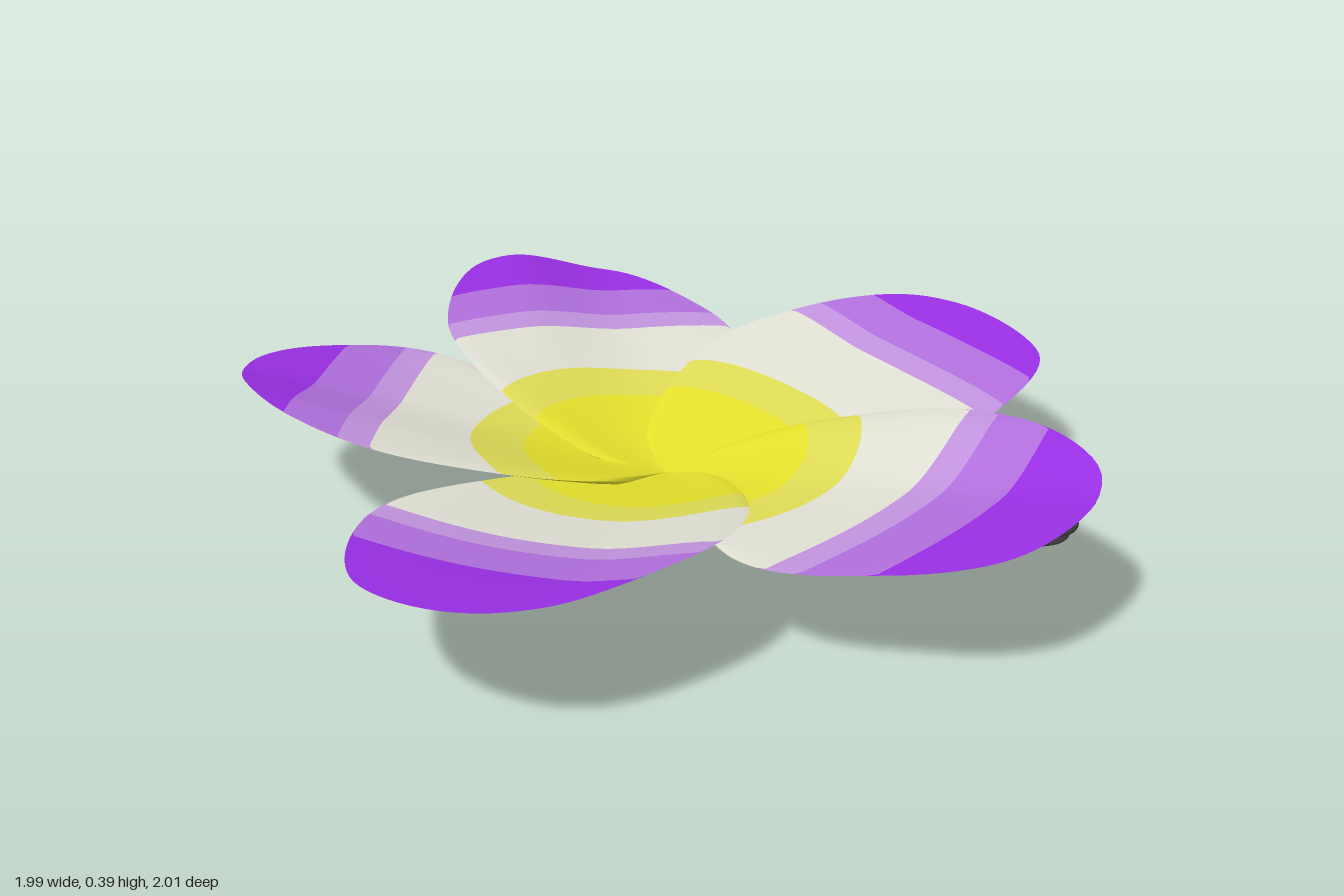
import * as THREE from 'three';

const mat = (name, color) => {
  const m = new THREE.MeshStandardMaterial({ color });
  m.name = name;
  return m;
};

// Where all petals meet, seen from above (x, z)
const BASE = new THREE.Vector2(0.03, -0.06);

// Outlines (x, z) run from the raised edge round the tip to the tucked edge.
// angle: direction from +x towards +z; reach: where the purple begins;
// slope and bend skew the colour borders; curl lifts the raised edge.
const PETALS = [
  { name: 'frontPetal', angle: 90, reach: 0.66, slope: 0.1, bend: -0.48, curl: 0.04,
    outline: [0.18, 0.03, 0.28, 0.38, 0.2, 0.72, -0.1, 1, -0.38, 0.91, -0.5, 0.6, -0.46, 0.32, -0.2, 0.03] },
  { name: 'rightPetal', angle: 180, reach: 0.64, slope: -0.1, bend: -0.1, curl: 0.045,
    outline: [-0.1, 0.15, -0.3, 0.27, -0.57, 0.315, -0.86, 0.17, -1, -0.1, -0.9, -0.32, -0.62, -0.44, -0.2, -0.25] },
  { name: 'backRightPetal', angle: 248, reach: 0.65, slope: -0.14, bend: -0.4, curl: 0.05,
    outline: [-0.15, -0.04, -0.4, -0.2, -0.6, -0.45, -0.6, -0.81, -0.3, -1, -0.02, -0.88, 0.12, -0.68, 0.13, -0.3] },
  { name: 'backLeftPetal', angle: 304, reach: 0.69, slope: 0.12, bend: -0.2, curl: 0.04,
    outline: [-0.04, -0.2, 0, -0.47, 0.16, -0.71, 0.6, -0.9, 0.88, -0.6, 0.75, -0.25, 0.6, -0.1, 0.3, -0.02] },
  { name: 'leftPetal', angle: 21, reach: 0.63, slope: 0.1, bend: -0.3, curl: 0.09,
    outline: [0.2, -0.165, 0.42, -0.18, 0.7, -0.1, 0.95, 0.16, 0.98, 0.33, 0.82, 0.57, 0.57, 0.62, 0.27, 0.51] },
];

// Thin closed petal: rays from the base to the outline, cut where the colour changes
function petalGeometry({ angle, reach, slope, bend, curl, outline }) {
  const COLS = 96, STEPS = 5, ROWS = 6 * STEPS + 1;
  const turn = THREE.MathUtils.degToRad(angle), dirX = Math.cos(turn), dirZ = Math.sin(turn);
  const knots = [BASE];
  for (let i = 0; i < outline.length; i += 2) knots.push(new THREE.Vector2(outline[i], outline[i + 1]));
  const rim = new THREE.SplineCurve([...knots, BASE]).getSpacedPoints(COLS);
  const pos = [], levels = [], index = [];

  const rays = rim.map(p => {
    const dx = p.x - BASE.x, dz = p.y - BASE.y;
    const along = dx * dirX + dz * dirZ, side = dx * dirZ - dz * dirX;
    const len = Math.max(Math.hypot(dx, dz), 1e-6);
    const cuts = [0, Math.min(1, 0.33 / len), Math.min(1, 0.45 / len)];
    for (const border of [reach, reach + 0.075, reach + 0.21]) {
      const past = w => w * along - border - slope * w * side - bend * (w * side) ** 2;
      let lo = 0, hi = 1;
      if (past(1) < 0) lo = 1;
      else for (let k = 0; k < 24; k++) {
        const m = (lo + hi) / 2;
        if (past(m) < 0) lo = m; else hi = m;
      }
      cuts.push(Math.max(lo, cuts[cuts.length - 1]));
    }
    cuts.push(1);
    return { dx, dz, side, len, cuts };
  });

  // A shallow cone, tilted sideways, with the raised edge lifted
  for (const face of [1, -1]) {
    for (const ray of rays) {
      for (let i = 0; i < ROWS; i++) {
        const k = Math.min(5, Math.floor(i / STEPS)), t = i / STEPS - k;
        const w = ray.cuts[k] + (ray.cuts[k + 1] - ray.cuts[k]) * t;
        const r = w * ray.len, l = w * ray.side;
        const y = 0.143 + 0.19 * r + 0.06 * l * Math.min(1, r / 0.1)
          + curl * r * THREE.MathUtils.smoothstep(l, -0.05, 0.24);
        pos.push(BASE.x + w * ray.dx, y + face * 0.011 * (1 - w ** 6), BASE.y + w * ray.dz);
        levels.push(w);
      }
    }
  }

  const tri = (p, q, s, face) => {
    const outside = Math.min(levels[p], levels[q], levels[s]) > 0.99999;
    if (!outside) index.push(...(face ? [p, s, q] : [p, q, s]));
  };
  const geo = new THREE.BufferGeometry();
  for (let k = 0; k < 6; k++) {
    const start = index.length;
    for (let face = 0; face < 2; face++)
      for (let j = 0; j < COLS; j++)
        for (let i = k * STEPS; i < (k + 1) * STEPS; i++) {
          const a = (face * (COLS + 1) + j) * ROWS + i, b = a + ROWS;
          tri(a, b + 1, a + 1, face);
          if (i > 0) tri(a, b, b + 1, face);
        }
    geo.addGroup(start, index.length - start, k);
  }
  geo.setAttribute('position', new THREE.Float32BufferAttribute(pos, 3));
  geo.setIndex(index);
  geo.computeVertexNormals();
  return geo;
}

// Clip arm: a tapering bar along x with rounded ends and a groove down the middle
function armGeometry(startY, endY, length) {
  const geo = new THREE.CylinderGeometry(1, 1, 1, 40, 48, true);
  const p = geo.attributes.position;
  const { lerp } = THREE.MathUtils;
  const square = v => Math.sign(v) * Math.abs(v) ** 0.55;
  for (let i = 0; i < p.count; i++) {
    const t = (1 - Math.cos(Math.PI * (0.5 - p.getY(i)))) / 2;
    const end = Math.sqrt(Math.max(0, 1 - Math.abs(2 * t - 1) ** 20));
    const up = p.getX(i), across = p.getZ(i);
    const groove = 1 - 0.15 * Math.exp(-12 * across * across);
    p.setXYZ(i,
      -0.187 + length * t,
      lerp(startY, endY, t) + square(up) * end * lerp(0.034, 0.029, t) * groove,
      -0.055 + square(across) * end * lerp(0.105, 0.045, t));
  }
  geo.computeVertexNormals();
  return geo;
}

export function createModel() {
  const flower = new THREE.Group();
  flower.name = 'flowerClip';
  const add = (name, geometry, material) => {
    const mesh = new THREE.Mesh(geometry, material);
    mesh.name = name;
    flower.add(mesh);
  };

  // Petals, coloured from the heart outwards
  const colours = [
    mat('yellow', 0xe4e02c), mat('paleYellow', 0xdedb56), mat('cream', 0xe0dfd3),
    mat('lilac', 0xc193de), mat('violet', 0xb06fdc), mat('purple', 0x982fe2),
  ];
  for (const petal of PETALS) add(petal.name, petalGeometry(petal), colours);

  // Two clip arms, open at the finger end and closing towards the tip
  const dark = mat('darkGrey', 0x474747);
  add('upperClipArm', armGeometry(0.113, 0.106, 1.167), dark);
  add('lowerClipArm', armGeometry(0.036, 0.085, 1.15), dark);
  return flower;
}
